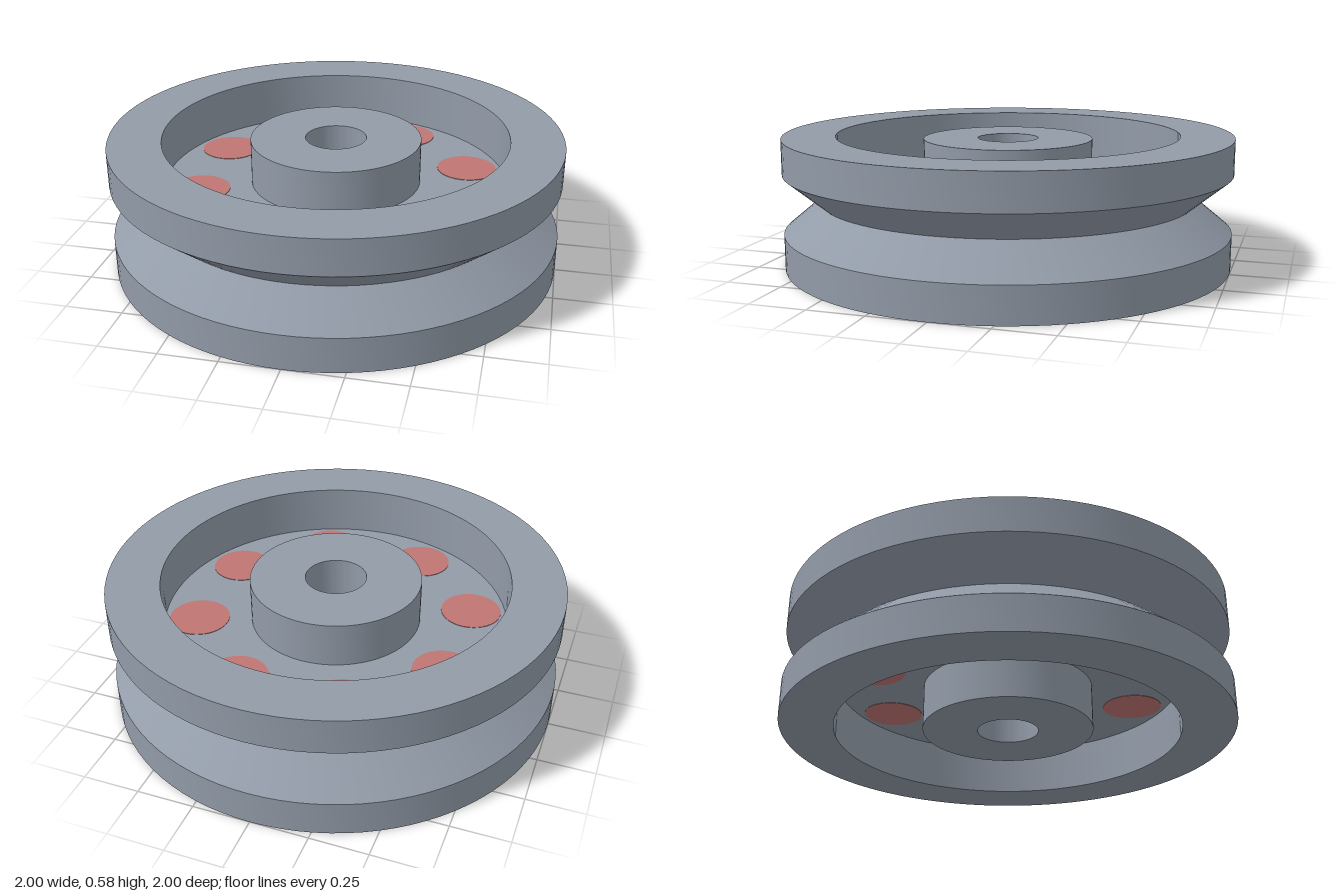
import * as THREE from 'three';
import { toCreasedNormals } from 'three/addons/utils/BufferGeometryUtils.js';

export function createModel() {
  const steel = new THREE.MeshStandardMaterial({ color: 0x929ba8 });
  steel.name = 'grey steel';
  const red = new THREE.MeshStandardMaterial({ color: 0xbf7573 });
  red.name = 'dull red';

  const height = 0.576, mid = height / 2;
  const halfWeb = 0.066;
  const group = new THREE.Group();
  group.name = 'grooved pulley wheel';

  // Half profile above the middle plane, from the groove bottom round to the bore
  const upper = [
    [0.84, 0], [1, 0.132], [1, mid], [0.765, mid], [0.765, halfWeb],
    [0.378, halfWeb], [0.378, mid - 0.022], [0.135, mid - 0.022],
  ];
  // Mirror it downwards and close the loop at the groove
  const lower = upper.slice(1).reverse().map(([r, y]) => [r, -y]);
  const profile = [...upper, ...lower, upper[0]]
    .map(([r, y]) => new THREE.Vector2(r, y + mid));

  // Rim, web and hub are one turned body
  const body = new THREE.Mesh(
    toCreasedNormals(new THREE.LatheGeometry(profile, 96), Math.PI / 8), steel);
  body.name = 'wheelBody';
  group.add(body);

  // Eight round inserts, showing on both sides of the web
  const discGeometry = new THREE.CylinderGeometry(0.134, 0.134, 0.004, 40);
  for (let i = 0; i < 8; i++) {
    const angle = (i + 0.5) * Math.PI / 4;
    for (const side of [1, -1]) {
      const disc = new THREE.Mesh(discGeometry, red);
      disc.name = side > 0 ? 'upperWebDisc' : 'lowerWebDisc';
      disc.position.set(0.611 * Math.cos(angle), mid + side * halfWeb, 0.611 * Math.sin(angle));
      group.add(disc);
    }
  }
  return group;
}
